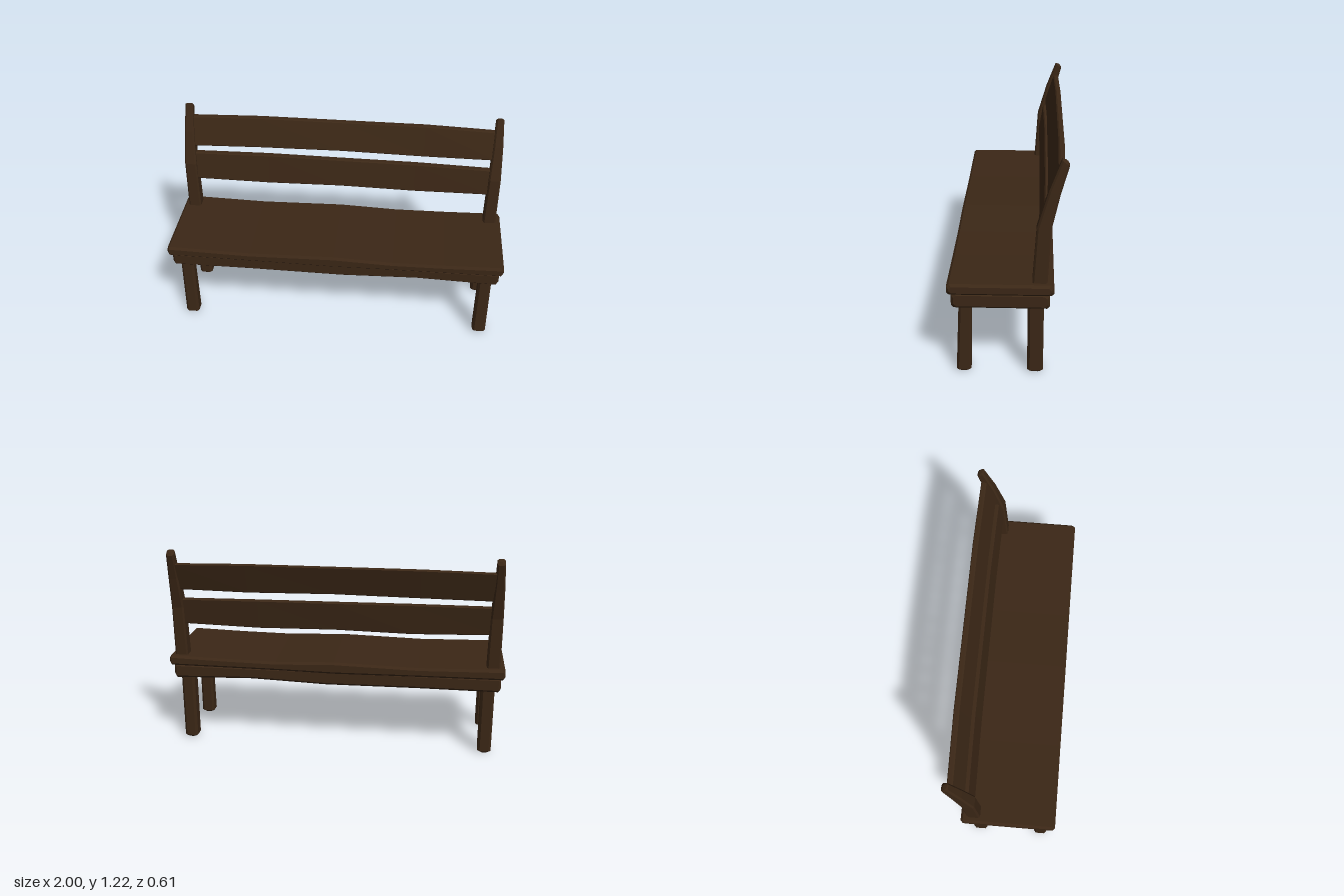
import * as THREE from 'three';

const wood = new THREE.MeshStandardMaterial({ color: 0x3b2716, flatShading: true });

// Cut each corner of a four-sided section by distance c
function chamfer(corners, c) {
  return corners.flatMap((p, i) => {
    const prev = corners[(i + 3) % 4], next = corners[(i + 1) % 4];
    return [prev, next].map((q) => p.clone().lerp(q, Math.min(0.45, c / p.distanceTo(q))));
  });
}

// Copy of a section pulled towards its centre by d and shifted along the beam
function inset(corners, d, shift) {
  const mid = corners.reduce((s, p) => s.add(p), new THREE.Vector3()).multiplyScalar(0.25);
  return corners.map((p) => {
    const v = mid.clone().sub(p);
    for (const k of ['x', 'y', 'z']) v[k] = Math.sign(v[k]) * Math.min(d, Math.abs(v[k]));
    return p.clone().add(v).add(shift);
  });
}

// Beam through four-cornered sections (counter-clockwise about its direction), with bevelled ends
function beam(name, sections, c, axis) {
  const n = sections.length;
  const dir = new THREE.Vector3(...axis).multiplyScalar(c);
  const rings = [
    inset(sections[0], c, new THREE.Vector3()),
    sections[0].map((p) => p.clone().add(dir)),
    ...sections.slice(1, -1),
    sections[n - 1].map((p) => p.clone().sub(dir)),
    inset(sections[n - 1], c, new THREE.Vector3()),
  ].map((s) => chamfer(s, c));
  const pos = [];
  const tri = (...pts) => pts.forEach((p) => pos.push(p.x, p.y, p.z));
  for (let i = 0; i < rings.length - 1; i++) {
    for (let j = 0; j < 8; j++) {
      const k = (j + 1) % 8, a = rings[i], b = rings[i + 1];
      tri(a[j], a[k], b[k]);
      tri(a[j], b[k], b[j]);
    }
  }
  const first = rings[0], last = rings[rings.length - 1];
  for (let j = 1; j < 7; j++) {
    tri(first[0], first[j + 1], first[j]);
    tri(last[0], last[j], last[j + 1]);
  }
  const geo = new THREE.BufferGeometry();
  geo.setAttribute('position', new THREE.Float32BufferAttribute(pos, 3));
  geo.computeVertexNormals();
  const mesh = new THREE.Mesh(geo, wood);
  mesh.name = name;
  return mesh;
}

// Section across x: bottom and top heights, each with its back and front z
const acrossX = (x, y0, y1, back0, front0, back1 = back0, front1 = front0) => [
  new THREE.Vector3(x, y0, back0), new THREE.Vector3(x, y1, back1),
  new THREE.Vector3(x, y1, front1), new THREE.Vector3(x, y0, front0),
];

// Section across y: the heights of front and back edges may differ
const acrossY = (xa, xb, back, front, yBack, yFront = yBack) => {
  const x0 = Math.min(xa, xb), x1 = Math.max(xa, xb);
  return [
    new THREE.Vector3(x0, yBack, back), new THREE.Vector3(x0, yFront, front),
    new THREE.Vector3(x1, yFront, front), new THREE.Vector3(x1, yBack, back),
  ];
};

export function createModel() {
  const bench = new THREE.Group();
  bench.name = 'bench';

  // Seat plank: [x, bottom, top], slightly uneven like hewn timber
  const seat = [[-1, 0.495, 0.558], [-0.5, 0.492, 0.547], [0, 0.487, 0.559],
    [0.35, 0.493, 0.546], [0.65, 0.495, 0.55], [1, 0.497, 0.559]];
  bench.add(beam('seat', seat.map(([x, a, b]) => acrossX(x, a, b, -0.245, 0.305)), 0.013, [1, 0, 0]));

  // Thick frame under the seat
  const frame = [[-0.98, 0.41, 0.5], [-0.5, 0.412, 0.5], [0.05, 0.408, 0.5], [0.5, 0.424, 0.5], [0.98, 0.41, 0.5]];
  bench.add(beam('seatFrame', frame.map(([x, a, b]) => acrossX(x, a, b, -0.225, 0.285)), 0.014, [1, 0, 0]));

  // Back slats: [x, bottom, top], leaning with the posts and bowed back in the middle
  const slats = {
    lowerSlat: { pts: [[-0.93, 0.752, 0.925], [-0.45, 0.742, 0.927], [0, 0.75, 0.923], [0.45, 0.743, 0.92], [0.93, 0.752, 0.912]],
      z: [-0.193, -0.158, -0.222, -0.187] },
    upperSlat: { pts: [[-0.93, 0.965, 1.14], [-0.5, 0.972, 1.148], [0, 0.978, 1.148], [0.5, 0.97, 1.148], [0.93, 0.974, 1.138]],
      z: [-0.236, -0.2, -0.289, -0.257] },
  };
  for (const [name, { pts, z }] of Object.entries(slats)) {
    const rings = pts.map(([x, a, b]) => {
      const bow = Math.abs(x) > 0.8 ? 0 : 0.008;
      return acrossX(x, a, b, ...z.map((v) => v - bow));
    });
    bench.add(beam(name, rings, 0.006, [1, 0, 0]));
  }

  // Legs and curved back posts, mirrored left and right
  for (const s of [1, -1]) {
    const side = s > 0 ? 'Left' : 'Right';
    bench.add(beam('frontLeg' + side, [
      acrossY(s * 0.868, s * 0.948, 0.19, 0.268, 0),
      acrossY(s * 0.868, s * 0.945, 0.182, 0.248, 0.45),
    ], 0.013, [0, 1, 0]));
    bench.add(beam('backLeg' + side, [
      acrossY(s * 0.868, s * 0.948, -0.195, -0.11, 0),
      acrossY(s * 0.868, s * 0.948, -0.195, -0.11, 0.45),
    ], 0.014, [0, 1, 0]));
    bench.add(beam('backPost' + side, [
      acrossY(s * 0.893, s * 0.97, -0.21, -0.132, 0.53),
      acrossY(s * 0.897, s * 0.968, -0.226, -0.152, 0.86),
      acrossY(s * 0.905, s * 0.962, -0.267, -0.21, 1.045, 1.06),
      acrossY(s * 0.908, s * 0.953, -0.308, -0.27, 1.2, 1.228),
    ], 0.009, [0, 1, 0]));
  }
  return bench;
}
